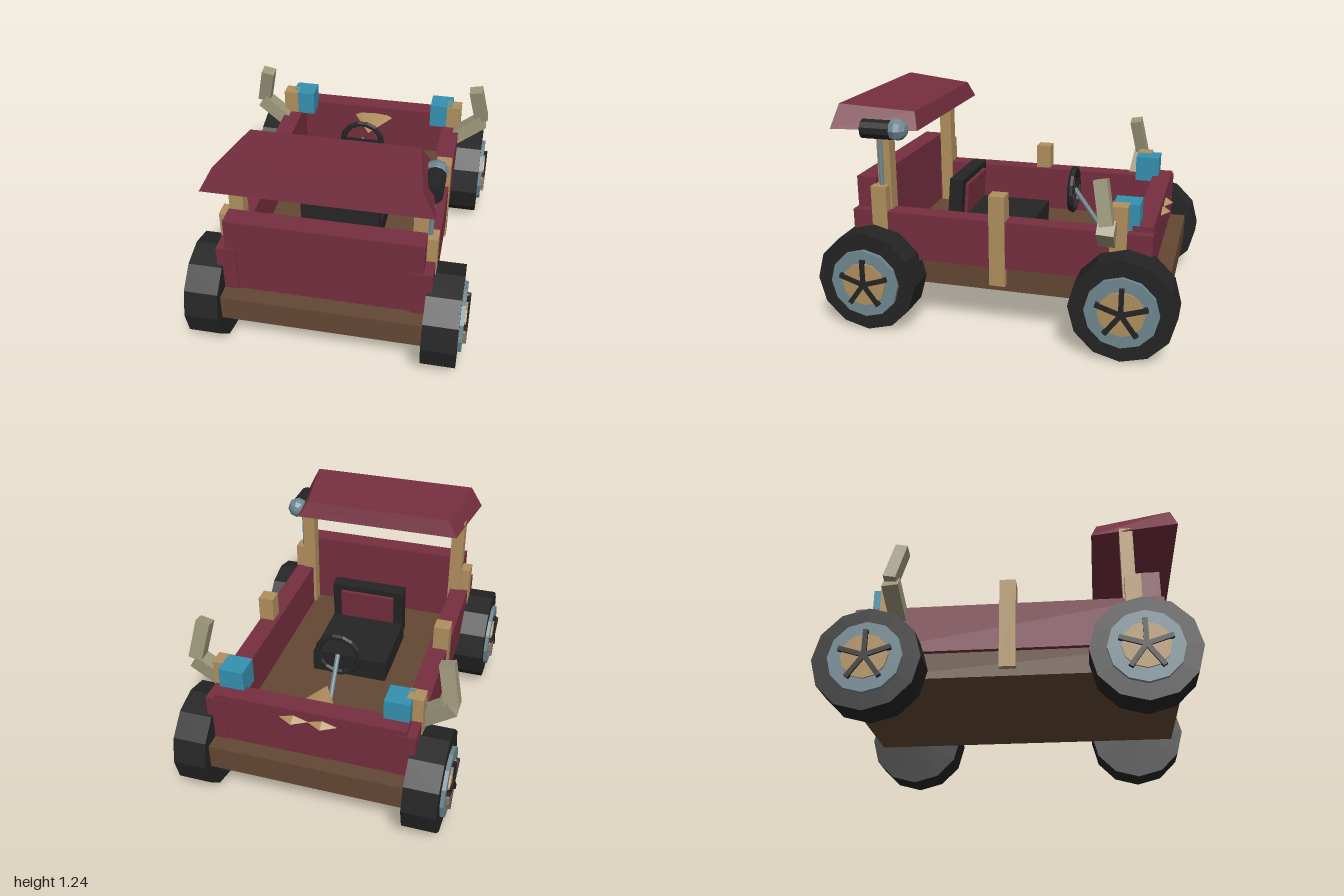
import * as THREE from 'three';

const mat = (name, color) => {
  const m = new THREE.MeshStandardMaterial({ color, flatShading: true });
  m.name = name;
  return m;
};

export function createModel() {
  const maroon = mat('maroon', 0x752e3f);
  const tan = mat('tan wood', 0xb08f5e);
  const brown = mat('brown wood', 0x634733);
  const black = mat('black', 0x242424);
  const steel = mat('blue grey', 0x6f8791);
  const khaki = mat('khaki', 0x9c967a);
  const cyan = mat('cyan', 0x3590b0);

  const car = new THREE.Group();
  car.name = 'buggy';

  const add = (name, geo, material, x = 0, y = 0, z = 0, parent = car) => {
    const mesh = new THREE.Mesh(geo, material);
    mesh.name = name;
    mesh.position.set(x, y, z);
    parent.add(mesh);
    return mesh;
  };
  // Box given by its lower and upper limits on each axis
  const box = (name, material, [x0, x1], [y0, y1], [z0, z1], parent = car) =>
    add(name, new THREE.BoxGeometry(x1 - x0, y1 - y0, z1 - z0), material,
      (x0 + x1) / 2, (y0 + y1) / 2, (z0 + z1) / 2, parent);
  // Bar or rod whose local y axis runs from a to b
  const between = (name, geo, material, a, b) => {
    const p = new THREE.Vector3(...a), q = new THREE.Vector3(...b);
    const mesh = add(name, geo, material);
    mesh.position.copy(p).add(q).multiplyScalar(0.5);
    mesh.quaternion.setFromUnitVectors(new THREE.Vector3(0, 1, 0), q.sub(p).normalize());
    return mesh;
  };

  // Chassis and end boards
  box('floor', brown, [-0.55, 0.55], [0.24, 0.386], [-0.93, 0.93]);
  box('tallEndBoard', maroon, [-0.53, 0.53], [0.385, 0.835], [0.715, 0.83]);
  box('lowEndBoard', maroon, [-0.53, 0.53], [0.385, 0.685], [-0.835, -0.725]);

  // Parts repeated on both sides
  for (const s of [1, -1]) {
    const span = (a, b) => (s > 0 ? [a, b] : [-b, -a]);
    box('sideWall', maroon, span(0.47, 0.58), [0.385, 0.655], [-0.84, 0.84]);
    for (const z of [-0.66, 0, 0.68])
      box('sidePost', tan, span(0.495, 0.585), [0.28, 0.8], [z - 0.045, z + 0.045]);
    box('roofPost', tan, span(0.453, 0.53), [0.39, 1.13], [0.625, 0.7]);
    box('cyanBlock', cyan, span(0.388, 0.527), [0.65, 0.8], [-0.76, -0.62]);

    // Bent side pipes
    between('lowerPipe', new THREE.BoxGeometry(0.085, 0.23, 0.09), khaki,
      [s * 0.545, 0.6, -0.6], [s * 0.725, 0.735, -0.615]);
    between('upperPipe', new THREE.BoxGeometry(0.08, 0.235, 0.07), khaki,
      [s * 0.72, 0.745, -0.62], [s * 0.67, 0.97, -0.575]);

    // Ornament half on the outer face of the low end board
    const lens = add('ornament', new THREE.OctahedronGeometry(1), tan, s * 0.08, 0.625, -0.838);
    lens.scale.set(0.082, 0.026, 0.046);

    // Wheels
    for (const z of [0.714, -0.714]) {
      const wheel = new THREE.Group();
      wheel.name = 'wheel';
      wheel.position.set(0, 0.287, z);
      car.add(wheel);
      const disc = (name, r, x0, x1, material) => {
        const geo = new THREE.CylinderGeometry(r, r, x1 - x0, 12).rotateZ(Math.PI / 2);
        add(name, geo, material, s * (x0 + x1) / 2, 0, 0, wheel);
      };
      disc('tyre', 0.287, 0.55, 0.738, black);
      disc('rim', 0.197, 0.73, 0.76, steel);
      disc('hubDisc', 0.125, 0.75, 0.77, tan);
      for (let i = 0; i < 5; i++) {
        const geo = new THREE.BoxGeometry(0.022, 0.144, 0.026)
          .translate(0, 0.072, 0).rotateX(i * Math.PI * 2 / 5);
        add('spoke', geo, black, s * 0.77, 0, 0, wheel);
      }
    }
  }

  // Roof: a box drawn in and sloped along its top
  const roofGeo = new THREE.BoxGeometry(2, 2, 2);
  const p = roofGeo.attributes.position;
  for (let i = 0; i < p.count; i++) {
    const sx = p.getX(i), top = p.getY(i) > 0, rear = p.getZ(i) > 0;
    const half = rear ? (top ? 0.51 : 0.58) : (top ? 0.45 : 0.505);
    const y = top ? (rear ? 1.24 : 1.205) : 1.11;
    const z = rear ? (top ? 0.92 : 0.95) : (top ? 0.5 : 0.468);
    p.setXYZ(i, sx * half, y, z);
  }
  roofGeo.computeVertexNormals();
  add('roof', roofGeo, maroon);

  // Lamp on its rod
  add('lampRod', new THREE.CylinderGeometry(0.014, 0.014, 0.5, 8), steel, 0.54, 0.85, 0.675);
  add('lampBody', new THREE.CylinderGeometry(0.055, 0.055, 0.17, 10).rotateX(Math.PI / 2),
    black, 0.54, 1.115, 0.685);
  add('lampGlass', new THREE.SphereGeometry(0.062, 8, 6).rotateX(Math.PI / 2),
    steel, 0.54, 1.12, 0.57);

  // Seat with a padded back
  box('seatCushion', black, [-0.228, 0.225], [0.385, 0.52], [-0.1, 0.37]);
  const back = new THREE.Group();
  back.name = 'seatBack';
  back.position.set(0, 0.44, 0.375);
  back.rotation.x = -0.08;
  car.add(back);
  box('backFrame', black, [-0.225, 0.225], [0, 0.32], [-0.04, 0.04], back);
  box('backPad', maroon, [-0.168, 0.168], [0.1, 0.285], [-0.06, -0.03], back);

  // Steering wheel and column
  add('steeringWheel', new THREE.TorusGeometry(0.122, 0.018, 6, 14), black, 0, 0.685, -0.305);
  box('steeringBar', black, [-0.115, 0.115], [0.675, 0.695], [-0.313, -0.297]);
  between('steeringColumn', new THREE.CylinderGeometry(0.014, 0.014, 0.36, 8), steel,
    [0, 0.69, -0.31], [0, 0.4, -0.52]);

  // Flattened cone on the inside of the low end board
  const cone = add('innerOrnament',
    new THREE.ConeGeometry(0.13, 0.225, 8).rotateX(Math.PI / 2), tan, 0, 0.615, -0.62);
  cone.scale.y = 0.2;

  return car;
}
